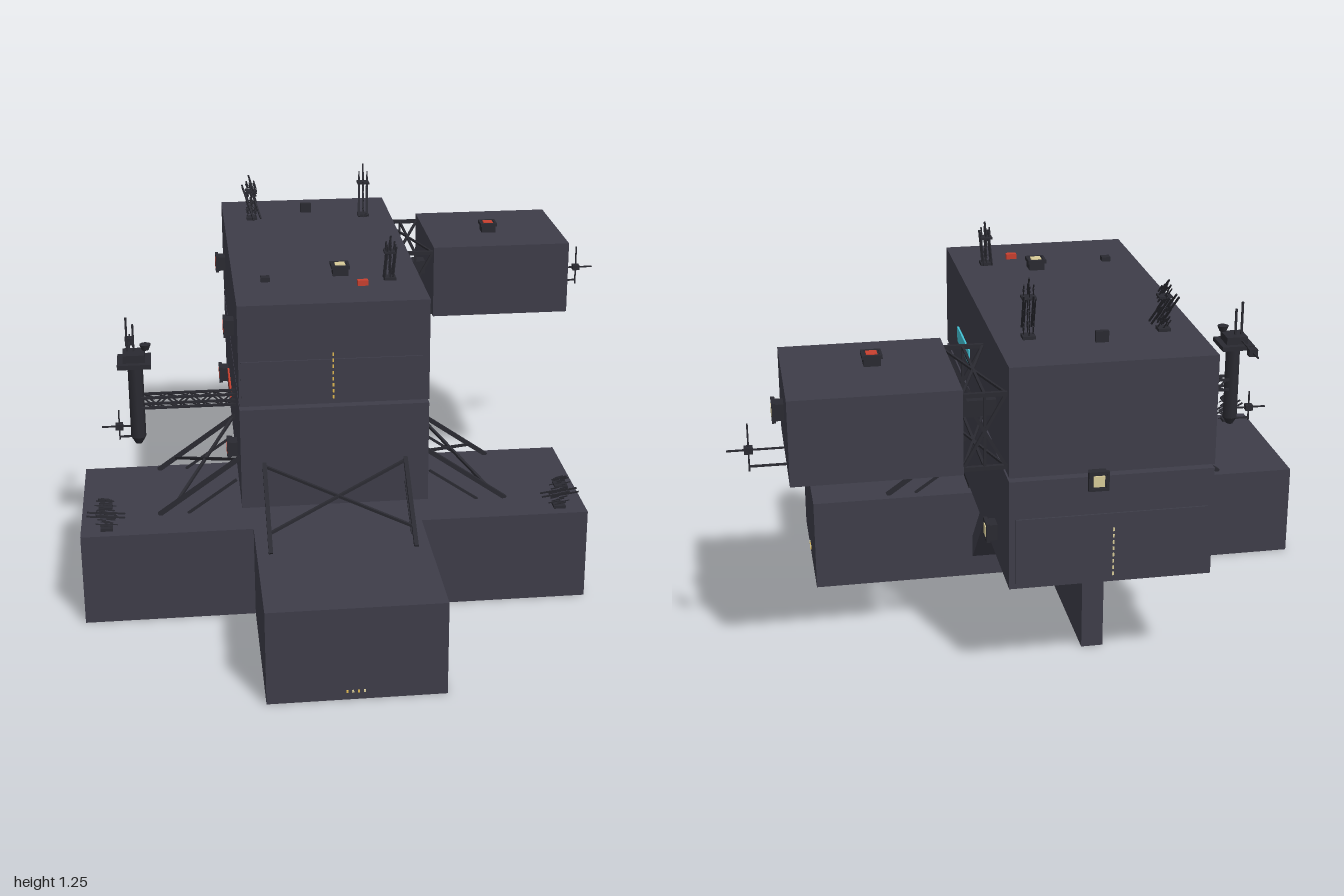
import * as THREE from 'three';

export function createModel() {
  const root = new THREE.Group();
  const paint = (name, color) => {
    const m = new THREE.MeshStandardMaterial({ color });
    m.name = name;
    return m;
  };
  const hull = paint('slate hull', 0x3e3d49);
  const dark = paint('dark metal', 0x2a2a31);
  const red = paint('red light', 0xc8402f);
  const cream = paint('cream light', 0xd8cb98);
  const cyan = paint('cyan light', 0x42c3d6);
  const yellow = paint('yellow marker', 0xe0b850);

  const add = (name, geo, mat, x, y, z, parent = root) => {
    const m = new THREE.Mesh(geo, mat);
    m.name = name;
    m.position.set(x, y, z);
    parent.add(m);
    return m;
  };
  // box given by its extents on each axis
  const block = (name, [x0, x1], [y0, y1], [z0, z1], mat = hull, parent = root) =>
    add(name, new THREE.BoxGeometry(x1 - x0, y1 - y0, z1 - z0), mat,
      (x0 + x1) / 2, (y0 + y1) / 2, (z0 + z1) / 2, parent);
  const group = (name) => {
    const g = new THREE.Group();
    g.name = name;
    root.add(g);
    return g;
  };
  // square bar between two points
  const beam = (name, a, b, t, parent = root, mat = dark) => {
    const p = new THREE.Vector3(...a), q = new THREE.Vector3(...b);
    const m = add(name, new THREE.BoxGeometry(t, t, p.distanceTo(q)), mat, 0, 0, 0, parent);
    m.position.copy(p).add(q).multiplyScalar(0.5);
    m.lookAt(q);
    return m;
  };

  // cross-shaped foundation
  block('baseCrossArm', [-0.97, 0.72], [0, 0.315], [-0.15, 0.4]);
  block('baseFrontArm', [-0.405, 0.155], [0, 0.315], [0.4, 0.975]);
  block('baseRearFin', [-0.16, -0.09], [0, 0.35], [-0.715, -0.15]);
  block('rearNeck', [-0.35, 0.1], [0.315, 0.352], [-0.66, -0.15]);
  block('frontNeck', [-0.35, 0.1], [0.315, 0.352], [-0.11, 0.03]);
  block('neckBracket', [0.1, 0.18], [0.315, 0.352], [-0.11, 0.03], dark);
  const strut = add('rearStrut', new THREE.BoxGeometry(0.09, 0.056, 0.37), hull, 0.13, 0.225, -0.265);
  strut.rotation.x = Math.PI / 4;

  // two stacked main halls with a narrow gap
  block('lowerHall', [-0.437, 0.188], [0.352, 0.702], [-0.95, 0.315]);
  block('upperHall', [-0.437, 0.188], [0.715, 1.06], [-0.95, 0.315]);
  for (const x of [-0.39, -0.07, 0.14]) for (const z of [-0.735, -0.02])
    block('hallSpacer', [x - 0.03, x + 0.03], [0.7, 0.717], [z - 0.035, z + 0.035], dark);
  block('frontPanel', [-0.43, 0.165], [0.72, 0.87], [0.315, 0.32]);
  block('rearPanel', [-0.42, 0.17], [0.37, 0.58], [-0.955, -0.95]);

  // side pod and its connecting truss
  block('sidePod', [0.32, 0.825], [0.73, 0.995], [-0.935, -0.465]);
  const truss = group('podTruss');
  block('podBeam', [0.18, 0.33], [0.83, 0.88], [-0.73, -0.675], dark, truss);
  for (const z of [-0.915, -0.49]) {
    for (const y of [0.74, 0.97]) beam('trussChord', [0.18, y, z], [0.33, y, z], 0.013, truss);
    beam('trussPost', [0.254, 0.74, z], [0.254, 0.97, z], 0.008, truss);
    beam('trussDiagonal', [0.19, 0.74, z], [0.32, 0.97, z], 0.009, truss);
    beam('trussDiagonal', [0.19, 0.97, z], [0.32, 0.74, z], 0.009, truss);
  }
  for (const y of [0.74, 0.97]) {
    beam('trussCrossBar', [0.254, y, -0.915], [0.254, y, -0.49], 0.008, truss);
    beam('trussDiagonal', [0.19, y, -0.915], [0.32, y, -0.49], 0.007, truss);
    beam('trussDiagonal', [0.32, y, -0.915], [0.19, y, -0.49], 0.007, truss);
  }

  // sloping braces: each pair of legs runs outwards from a wall to the base
  const brace = (name, at) => {
    const g = group(name);
    for (const s of [0, 1]) beam('braceLeg', at(s, 0), at(s, 1), 0.014, g);
    beam('braceCross', at(0, 0.03), at(1, 0.78), 0.009, g);
    beam('braceCross', at(1, 0.03), at(0, 0.78), 0.009, g);
    for (const s of [0, 1]) {
      const top = at(s, 0.05), foot = at(s, 0.65);
      beam('braceInner', [top[0], 0.43, top[2]], [foot[0], 0.315, foot[2]], 0.008, g);
    }
  };
  const mix = (a, b, t) => a + (b - a) * t;
  brace('frontBrace', (s, t) => [mix(-0.36, 0.11, s), mix(0.51, 0.315, t), mix(0.315, 0.59, t)]);
  brace('leftBrace', (s, t) => [mix(0.188, 0.465, t), mix(0.51, 0.315, t), mix(-0.115, 0.255, s)]);
  brace('rightBrace', (s, t) => [mix(-0.437, -0.714, t), mix(0.51, 0.315, t), mix(-0.115, 0.255, s)]);

  // square lamp housings; axis gives the direction they face
  const lamp = (x, y, z, axis, mat) => {
    const g = group('lamp');
    g.position.set(x, y, z);
    g.quaternion.setFromUnitVectors(new THREE.Vector3(0, 0, 1), new THREE.Vector3(...axis));
    add('lampBox', new THREE.BoxGeometry(0.052, 0.052, 0.032), dark, 0, 0, 0.016, g);
    add('lampLens', new THREE.BoxGeometry(0.034, 0.034, 0.006), mat, 0, 0, 0.034, g);
    for (const s of [-1, 1]) {
      add('lampRim', new THREE.BoxGeometry(0.062, 0.008, 0.012), dark, 0, s * 0.027, 0.03, g);
      add('lampRim', new THREE.BoxGeometry(0.008, 0.062, 0.012), dark, s * 0.027, 0, 0.03, g);
    }
  };
  for (const z of [0.012, -0.72]) {
    lamp(0.188, 0.445, z, [1, 0, 0], cream);
    lamp(-0.437, 0.445, z, [-1, 0, 0], red);
    lamp(-0.437, 0.89, z, [-1, 0, 0], red);
  }
  lamp(0.825, 0.89, -0.725, [1, 0, 0], cream);
  lamp(-0.075, 0.7, -0.95, [0, 0, -1], cream);
  lamp(-0.075, 1.06, 0.01, [0, 1, 0], cream);
  lamp(0.555, 0.995, -0.665, [0, 1, 0], red);

  // light strips and small markers
  block('cyanStrip', [0.187, 0.194], [0.81, 0.86], [-0.22, 0.03], cyan);
  block('redStrip', [-0.443, -0.436], [0.45, 0.5], [-0.62, -0.41], red);
  for (let i = 0; i < 8; i++) {
    const y = 0.735 + i * 0.021;
    block('frontMarker', [-0.132, -0.127], [y, y + 0.011], [0.318, 0.323], yellow);
    block('rearMarker', [-0.132, -0.127], [y - 0.36, y - 0.349], [-0.958, -0.954], cream);
  }
  for (let i = 0; i < 4; i++) {
    const d = i * 0.018, mat = i % 2 ? cream : yellow;
    block('baseMarker', [-0.16 + d, -0.154 + d], [0.025, 0.033], [0.974, 0.979], mat);
    block('baseMarker', [0.719, 0.724], [0.025, 0.033], [0.1 + d, 0.106 + d], mat);
  }

  // lattice tower with a thin whip on top
  const mast = (x, y, z, h, w) => {
    const g = group('latticeMast');
    g.position.set(x, y, z);
    const c = [[-1, -1], [1, -1], [1, 1], [-1, 1]].map((p) => p.map((v) => v * w / 2));
    const body = h * 0.78, n = Math.max(3, Math.round(body / 0.035));
    for (let k = 0; k < 4; k++) {
      const a = c[k], b = c[(k + 1) % 4];
      beam('mastLeg', [a[0], 0, a[1]], [a[0], body, a[1]], 0.005, g);
      for (let i = 0; i < n; i++) {
        const y0 = body * i / n, y1 = body * (i + 1) / n;
        beam('mastBrace', [a[0], y0, a[1]], [b[0], y1, b[1]], 0.003, g);
        beam('mastRung', [a[0], y1, a[1]], [b[0], y1, b[1]], 0.004, g);
      }
    }
    add('mastFoot', new THREE.BoxGeometry(w + 0.01, 0.01, w + 0.01), dark, 0, 0.005, 0, g);
    add('mastPlate', new THREE.BoxGeometry(w + 0.014, 0.006, w + 0.014), dark, 0, body * 0.82, 0, g);
    beam('mastWhip', [0, body * 0.8, 0], [0, h, 0], 0.005, g);
    beam('mastArm', [-w * 0.8, body, 0], [w * 0.8, body, 0], 0.004, g);
  };
  mast(0.085, 1.06, -0.7, 0.2, 0.03);
  mast(-0.333, 1.06, -0.7, 0.17, 0.028);
  mast(0.085, 1.06, 0.085, 0.15, 0.028);
  for (const x of [-0.885, 0.632]) mast(x, 0.315, 0.345, 0.13, 0.03);

  // roof equipment
  block('roofBox', [-0.145, -0.105], [1.06, 1.095], [-0.78, -0.765], dark);
  block('roofVent', [-0.345, -0.315], [1.06, 1.075], [0.045, 0.075], dark);
  block('roofBeacon', [-0.03, 0.005], [1.06, 1.078], [0.13, 0.15], red);

  // hanging tower on a lattice boom
  const tower = group('boomTower');
  add('towerColumn', new THREE.CylinderGeometry(0.026, 0.026, 0.27, 8), dark, -0.775, 0.62, -0.03, tower);
  add('towerTip', new THREE.CylinderGeometry(0.026, 0.012, 0.025, 8), dark, -0.775, 0.4725, -0.03, tower);
  block('towerDeck', [-0.835, -0.72], [0.752, 0.768], [-0.09, 0.03], dark, tower);
  block('towerCabin', [-0.815, -0.74], [0.768, 0.795], [-0.07, 0.01], dark, tower);
  add('towerDish', new THREE.CylinderGeometry(0.02, 0.012, 0.02, 10), dark, -0.738, 0.815, -0.02, tower);
  for (const [x, h] of [[-0.8, 0.915], [-0.778, 0.89]]) beam('towerWhip', [x, 0.78, -0.04], [x, h, -0.04], 0.007, tower);
  for (const y of [0.595, 0.632]) for (const z of [-0.05, -0.01])
    beam('boomChord', [-0.76, y, z], [-0.43, y, z], 0.008, tower);
  for (let i = 0; i < 8; i++) {
    const x = -0.75 + i * 0.039, [p, q] = i % 2 ? [0.595, 0.632] : [0.632, 0.595];
    for (const z of [-0.05, -0.01]) beam('boomLacing', [x, p, z], [x + 0.039, q, z], 0.005, tower);
    for (const y of [0.595, 0.632]) beam('boomLacing', [x, y, -0.05], [x + 0.039, y, -0.01], 0.004, tower);
  }
  beam('dishArm', [-0.795, 0.78, -0.03], [-0.795, 0.78, -0.25], 0.005, tower);
  add('sideDish', new THREE.BoxGeometry(0.03, 0.025, 0.03), dark, -0.795, 0.78, -0.185, tower);

  // thin aerials on the tower and the pod
  const aerial = (x, y, z, h, xIn, xOut) => {
    const g = group('aerial');
    beam('aerialMast', [x, y, z], [x, y + h, z], 0.005, g);
    beam('aerialArm', [xIn, y + h * 0.45, z], [xOut, y + h * 0.45, z], 0.005, g);
    beam('aerialArm', [xIn, y + h * 0.1, z], [x, y + h * 0.1, z], 0.006, g);
    add('aerialHub', new THREE.BoxGeometry(0.026, 0.02, 0.026), dark, x, y + h * 0.45, z, g);
  };
  aerial(0.935, 0.73, -0.795, 0.15, 0.82, 1.0);
  aerial(-0.84, 0.47, -0.04, 0.11, -0.775, -0.9);

  return root;
}
